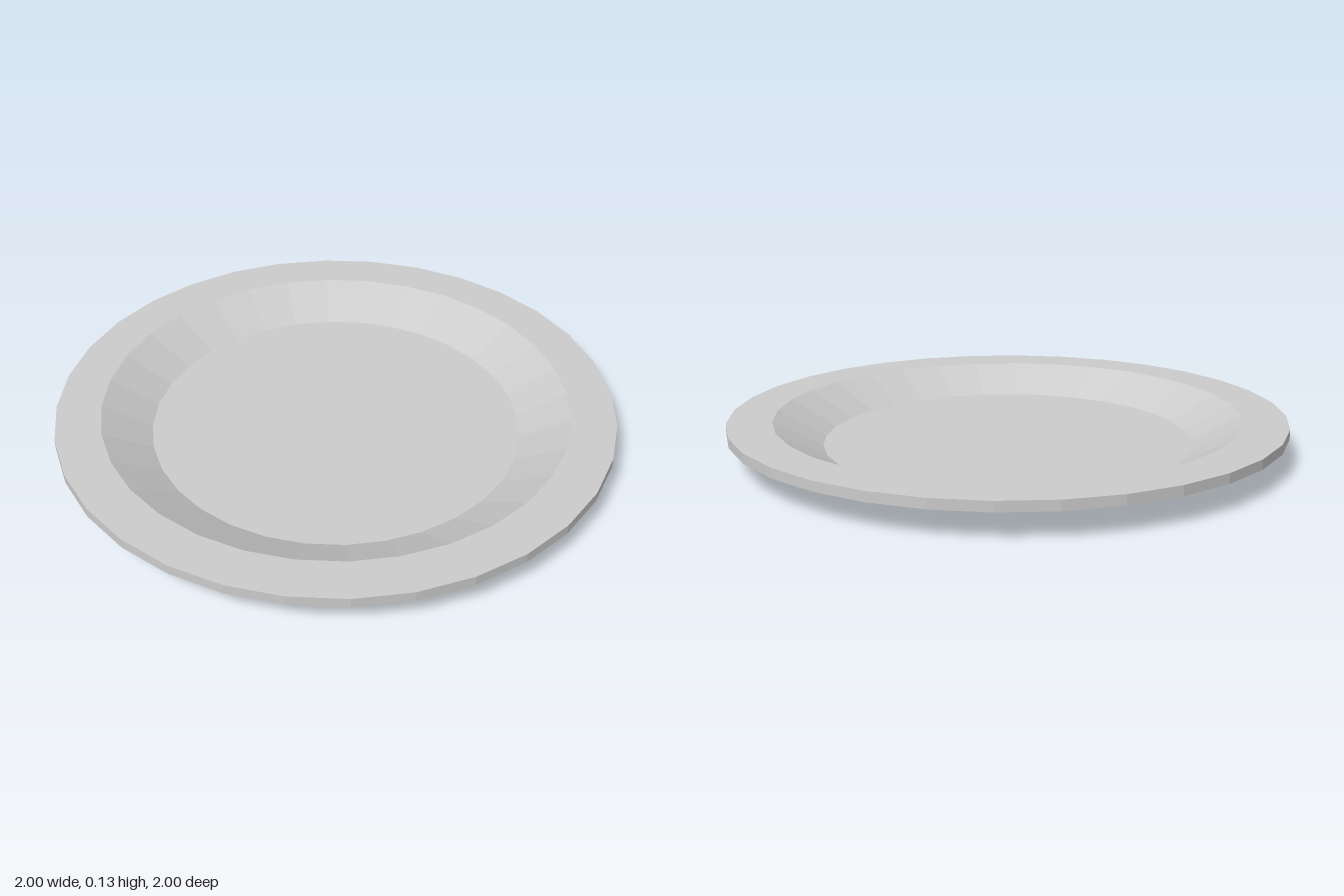
import * as THREE from 'three';

export function createModel() {
  const group = new THREE.Group();
  group.name = 'dish';

  // Closed wall profile: underside from the centre out, over the rim, back to the centre
  const t = 0.035, rimY = 0.094;
  const profile = [
    [0, 0], [0.665, 0], [0.84, rimY], [1, rimY],
    [1, rimY + t], [0.84, rimY + t], [0.665, t], [0, t],
  ].map(([r, y]) => new THREE.Vector2(r, y));

  const plate = new THREE.Mesh(
    new THREE.LatheGeometry(profile, 32),
    new THREE.MeshStandardMaterial({ color: 0xcccccc, flatShading: true })
  );
  plate.name = 'plate';
  group.add(plate);
  return group;
}
